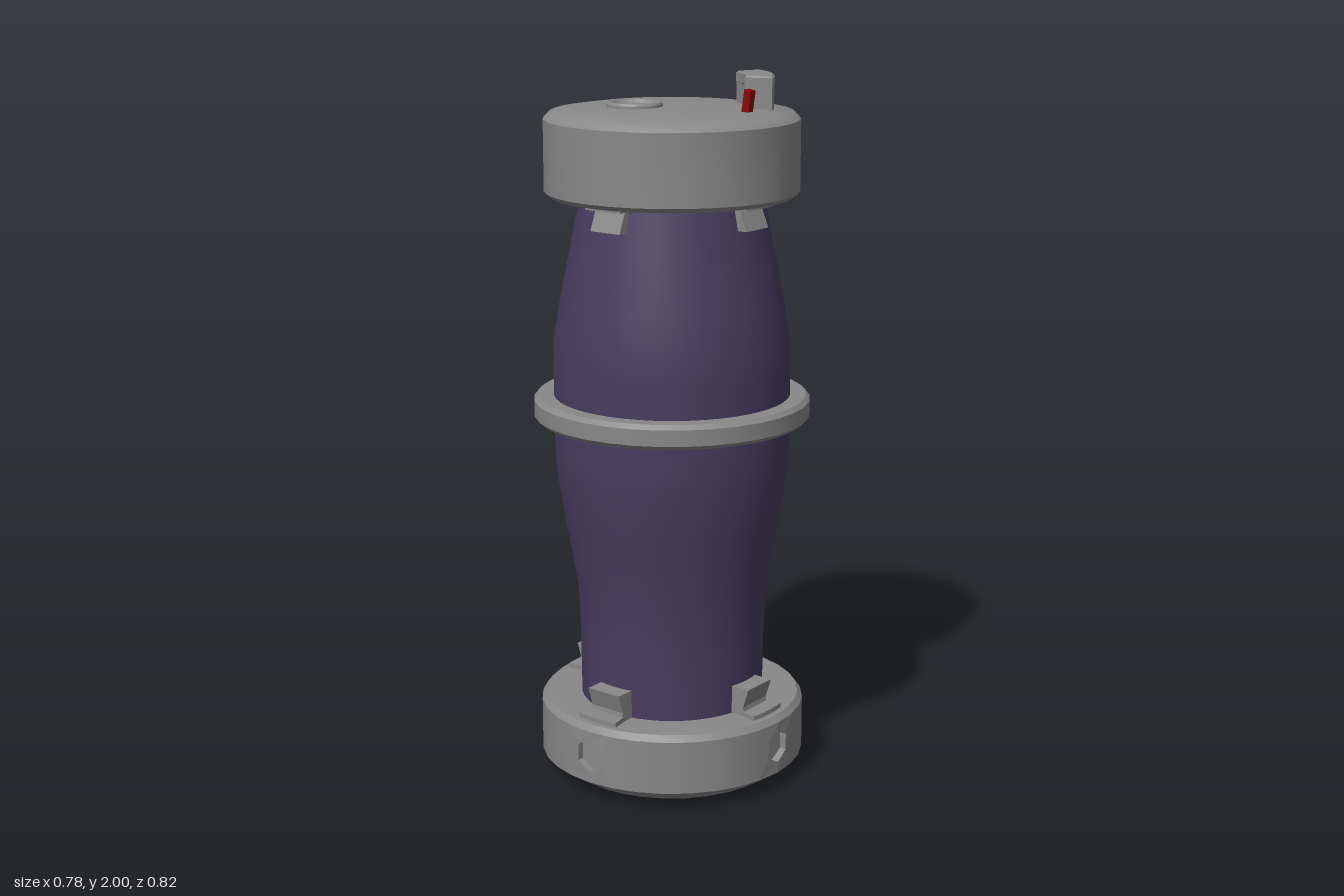
import * as THREE from 'three';
import { toCreasedNormals } from 'three/addons/utils/BufferGeometryUtils.js';

const grey = new THREE.MeshStandardMaterial({ color: 0x888888 });
const purple = new THREE.MeshStandardMaterial({ color: 0x483d60 });
const red = new THREE.MeshStandardMaterial({ color: 0x8c0606 });
const SEG = 32;
const AXIS_Z = 0.022; // the round parts sit slightly forward of the centre

const vecs = (pts) => pts.map(([x, y]) => new THREE.Vector2(x, y));

function add(parent, name, geometry, material = grey) {
  const mesh = new THREE.Mesh(geometry, material);
  mesh.name = name;
  parent.add(mesh);
  return mesh;
}

// Revolved profile, listed from the bottom centre outwards and up
const lathe = (pts, crease = 0.4) =>
  toCreasedNormals(new THREE.LatheGeometry(vecs(pts), SEG), crease);

// Plan shape (x, -z) raised from y0 to y1
function raise(shape, y0, y1, bevel = 0, curveSegments = 20) {
  const g = new THREE.ExtrudeGeometry(shape, {
    depth: y1 - y0 - 2 * bevel, bevelEnabled: bevel > 0, bevelSize: bevel,
    bevelThickness: bevel, bevelOffset: -bevel, bevelSegments: 1, curveSegments,
  });
  return toCreasedNormals(g.rotateX(-Math.PI / 2).translate(0, y0 + bevel, 0), 0.35);
}

// Side profile (r, y) extruded across a width, facing +z
function tab(pts, width) {
  const g = new THREE.ExtrudeGeometry(new THREE.Shape(vecs(pts)), { depth: width, bevelEnabled: false });
  return g.translate(0, 0, -width / 2).rotateY(-Math.PI / 2);
}

// Sector of a ring, angles measured from +x towards the back
function sector(r0, r1, a0, a1) {
  const s = new THREE.Shape();
  s.absarc(0, 0, r1, a0, a1, false);
  s.absarc(0, 0, r0, a1, a0, true);
  return s;
}

// Base: lathed top and bottom, with a wall pierced by four hexagonal sockets
function buildBase() {
  const base = new THREE.Group();
  base.name = 'base';
  const R = 0.379, low = 0.055, high = 0.207, step = (Math.PI * 2) / SEG;
  add(base, 'baseBottom', lathe([[0, 0], [0.172, 0], [0.178, 0.008], [0.187, 0.052],
    [0.265, 0.01], [0.31, 0.01], [R, low]]));
  add(base, 'baseTop', lathe([[R, high], [0.365, 0.224], [0.2, 0.224]]));

  const w = R * Math.sin(step);
  const panel = new THREE.Shape(vecs([[-w, low], [0, low], [w, low], [w, high], [0, high], [-w, high]]));
  const hex = [];
  for (let i = 0; i < 6; i++) {
    const a = Math.PI / 2 - (i * Math.PI) / 3;
    hex.push([0.048 * Math.cos(a), 0.135 + 0.048 * Math.sin(a)]);
  }
  panel.holes.push(new THREE.Path(vecs(hex)));
  const panelGeo = new THREE.ExtrudeGeometry(panel, { depth: 0.025, bevelEnabled: false });
  const p = panelGeo.attributes.position;
  for (let i = 0; i < p.count; i++) { // bend round the wall
    p.setZ(i, p.getZ(i) - 0.025 + Math.sqrt(R * R - p.getX(i) ** 2));
  }
  panelGeo.computeVertexNormals();
  for (let k = 0; k < 4; k++) {
    const side = new THREE.Group();
    side.name = 'baseSide';
    side.rotation.y = (k * Math.PI) / 2;
    add(side, 'socketPanel', panelGeo);
    add(side, 'socketFloor', new THREE.CircleGeometry(0.056, 6)).position.set(0, 0.135, R - 0.022);
    add(side, 'baseWall', new THREE.CylinderGeometry(R, R, high - low, SEG / 4 - 2, 1, true,
      step, Math.PI / 2 - 2 * step)).position.y = (low + high) / 2;
    base.add(side);
  }
  return base;
}

// Tapered vessel whose waist swells towards the strap at the back
function vesselGeometry() {
  const g = new THREE.LatheGeometry(vecs([[0.262, 0.2], [0.264, 0.38], [0.27, 0.55], [0.3, 0.72],
    [0.329, 0.9], [0.331, 0.95], [0.333, 1.03], [0.333, 1.125], [0.333, 1.2], [0.333, 1.26],
    [0.312, 1.38], [0.282, 1.53], [0.25, 1.69]]), 48);
  const p = g.attributes.position;
  for (let i = 0; i < p.count; i++) {
    if (p.getZ(i) < 0 && p.getY(i) > 1 && p.getY(i) < 1.15) {
      const push = THREE.MathUtils.clamp((0.18 - Math.abs(p.getX(i))) / 0.11, 0, 1);
      p.setZ(i, p.getZ(i) - 0.046 * push);
    }
  }
  return toCreasedNormals(g, 0.9);
}

// Back strap: a segmented box whose rows follow [outerY, outerZ, innerY, innerZ, halfWidth]
function strapGeometry() {
  const rows = [
    [0.225, -0.275, 0.225, -0.235, 0.05],
    [0.31, -0.338, 0.335, -0.295, 0.05],
    [1.05, -0.387, 1.05, -0.345, 0.07],
    [1.12, -0.394, 1.12, -0.352, 0.07],
    [1.6, -0.324, 1.585, -0.285, 0.053],
    [1.675, -0.25, 1.675, -0.21, 0.053],
  ];
  const n = rows.length - 1;
  const g = new THREE.BoxGeometry(1, 1, 1, 1, n, 1).toNonIndexed();
  const p = g.attributes.position;
  for (let i = 0; i < p.count; i++) {
    const r = rows[Math.round((p.getY(i) + 0.5) * n)];
    const k = p.getZ(i) < 0 ? 0 : 2;
    p.setXYZ(i, 2 * p.getX(i) * r[4], r[k], r[k + 1] - AXIS_Z);
  }
  g.computeVertexNormals();
  return g;
}

export function createModel() {
  const model = new THREE.Group();
  model.name = 'canister';
  const body = new THREE.Group();
  body.name = 'canisterParts';
  body.position.z = AXIS_Z;
  model.add(body);

  body.add(buildBase());
  add(body, 'vessel', vesselGeometry(), purple);

  // Cap with a softly domed top
  add(body, 'cap', lathe([[0.2, 1.672], [0.339, 1.672], [0.353, 1.685], [0.353, 1.882],
    [0.335, 1.9], [0.26, 1.911], [0, 1.915]], 0.7));

  // Middle ring, bulging out at the back to hold the strap
  const bulge = [[0.19, 0.337], [0.15, 0.362], [0.115, 0.394], [0.085, 0.424], [0.07, 0.432], [0, 0.436]];
  const outline = [...bulge, ...bulge.slice(0, -1).reverse().map(([x, y]) => [-x, y])];
  const start = Math.PI - Math.atan2(0.337, 0.19);
  const end = 2 * Math.PI + Math.atan2(0.337, 0.19);
  for (let i = 1; i < 28; i++) {
    const a = start + ((end - start) * i) / 28;
    outline.push([0.389 * Math.cos(a), 0.389 * Math.sin(a)]);
  }
  const ring = new THREE.Shape(vecs(outline));
  ring.holes.push(new THREE.Path().absarc(0, 0, 0.315, 0, Math.PI * 2, true));
  add(body, 'middleRing', raise(ring, 1.043, 1.112, 0.012));

  add(body, 'backStrap', strapGeometry());

  // Retaining tabs on the front and sides, with curved foot plates all round
  const front = -Math.PI / 2;
  const lowerTab = tab([[0.24, 0.22], [0.3, 0.22], [0.296, 0.25], [0.314, 0.305], [0.25, 0.305]], 0.11);
  const lowerFoot = raise(sector(0.24, 0.347, front - 0.19, front + 0.19), 0.215, 0.237, 0, 4);
  const upperTab = tab([[0.235, 1.602], [0.291, 1.602], [0.265, 1.665], [0.265, 1.68], [0.235, 1.68]], 0.1);
  const upperFoot = raise(sector(0.23, 0.305, front - 0.2, front + 0.2), 1.66, 1.68, 0, 4);
  for (let k = 0; k < 4; k++) {
    const side = new THREE.Group();
    side.name = 'retainer';
    side.rotation.y = (k * Math.PI) / 2;
    add(side, 'lowerFootPlate', lowerFoot);
    add(side, 'upperFootPlate', upperFoot);
    if (k !== 2) {
      add(side, 'lowerTab', lowerTab);
      add(side, 'upperTab', upperTab);
    }
    body.add(side);
  }

  // Curved bridge handle on the cap
  const handle = new THREE.Group();
  handle.name = 'handle';
  const a0 = 0.4, a1 = 1.165, leg = 0.16;
  add(handle, 'handleBridge', raise(sector(0.203, 0.28, a0, a1), 1.965, 2, 0.005, 4));
  add(handle, 'handleLeg', raise(sector(0.204, 0.279, a0, a0 + leg), 1.9, 1.97, 0, 1));
  add(handle, 'handleLeg', raise(sector(0.204, 0.279, a1 - leg, a1), 1.9, 1.97, 0, 1));
  body.add(handle);

  // Round dial with a raised rim
  add(body, 'dial', lathe([[0.078, 1.9], [0.077, 1.92], [0.073, 1.926], [0.065, 1.926],
    [0.057, 1.9165], [0, 1.9165]])).position.set(-0.077, 0, 0.065);

  // Small red lever
  const lever = add(body, 'lever', new THREE.BoxGeometry(0.022, 0.065, 0.022), red);
  lever.position.set(0.24, 1.938, -0.024);
  lever.rotation.z = -0.15;

  return model;
}
